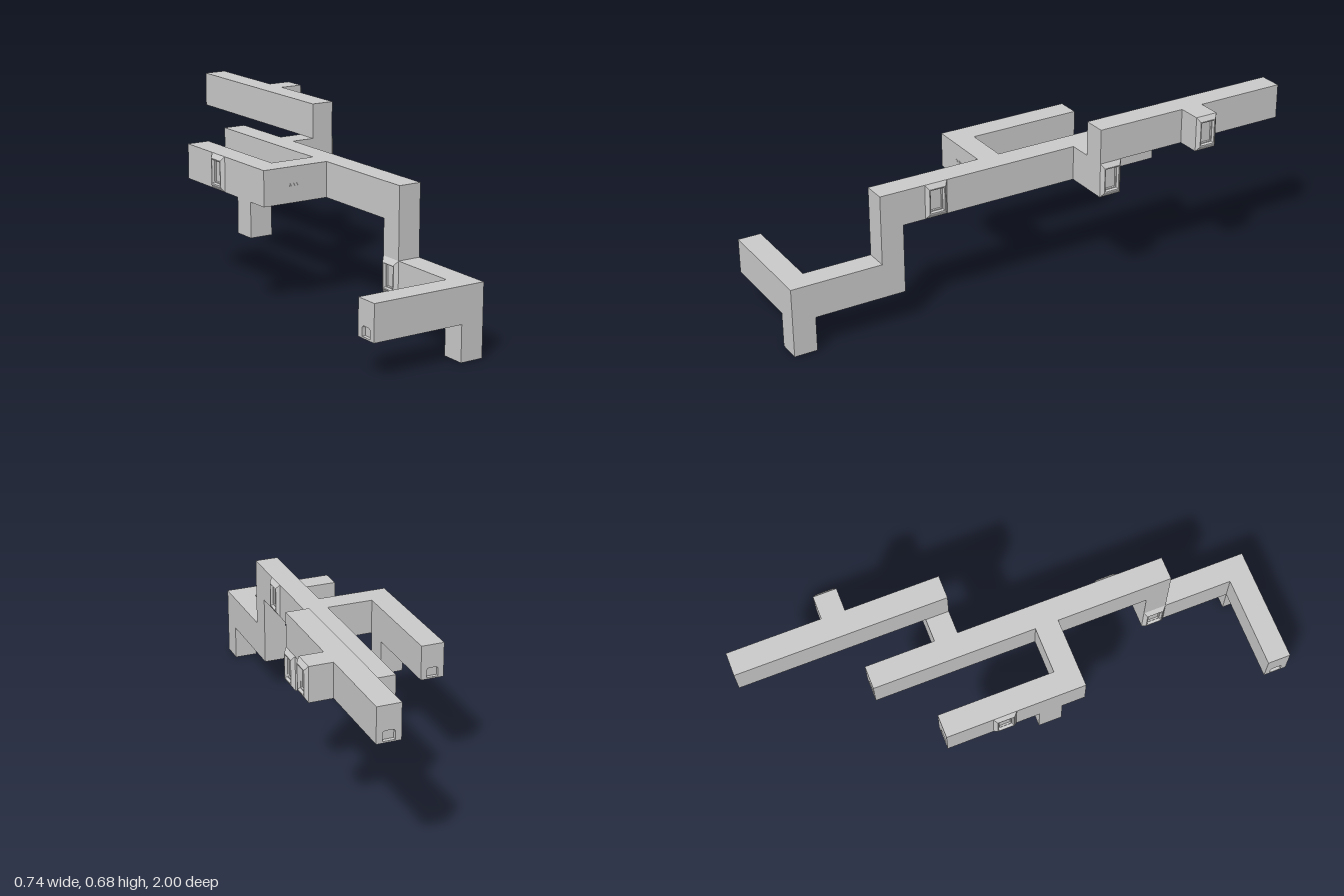
import * as THREE from 'three';
import { mergeGeometries } from 'three/addons/utils/BufferGeometryUtils.js';

// The passages follow a grid of cells: W wide and deep, H high.
const W = 2 / 22, H = 0.1364, X0 = -0.3703, RIM = 0.0125;
const material = new THREE.MeshStandardMaterial({ color: 0xcccccc, flatShading: true, side: THREE.DoubleSide });

// Each run spans cells [x, y, z] to [x, y, z], with z counted back from the front.
const runs = [
  ['entryShaft', [4, 0, 0], [4, 0, 0]],
  ['lowerCorridor', [4, 1, 0], [4, 1, 4]],
  ['lowerBranch', [0, 1, 0], [3, 1, 0]],
  ['risingShaft', [4, 2, 4], [4, 2, 4]],
  ['mainCorridor', [4, 3, 4], [4, 3, 16]],
  ['sideBranch', [2, 3, 9], [3, 3, 9]],
  ['sideCorridor', [1, 3, 9], [1, 3, 14]],
  ['dropShaft', [1, 2, 10], [1, 2, 10]],
  ['linkPassage', [5, 3, 13], [6, 3, 13]],
  ['upperCorridor', [6, 4, 13], [6, 4, 21]],
  ['upperStub', [7, 4, 17], [7, 4, 17]],
];

// Sides of a cell: grid step, rotation that turns +z outwards, distance from the cell centre
const sides = {
  front: { step: [0, 0, -1], rot: [0, 0], d: W / 2 },
  back: { step: [0, 0, 1], rot: [0, Math.PI], d: W / 2 },
  left: { step: [1, 0, 0], rot: [0, Math.PI / 2], d: W / 2 },
  right: { step: [-1, 0, 0], rot: [0, -Math.PI / 2], d: W / 2 },
  top: { step: [0, 1, 0], rot: [-Math.PI / 2, 0], d: H / 2 },
  bottom: { step: [0, -1, 0], rot: [Math.PI / 2, 0], d: H / 2 },
};

// Walls that are replaced by something else
const special = {
  '4,0,0,bottom': 'open', '1,2,10,bottom': 'open',
  '7,4,17,left': 'window', '6,3,13,left': 'window', '4,3,6,left': 'window',
  '1,3,12,right': 'window', '4,1,4,right': 'window',
  '6,4,21,back': 'hatch', '4,3,16,back': 'hatch', '1,3,14,back': 'hatch', '0,1,0,right': 'hatch',
};

// Move a panel built in the xy plane onto one side of a cell
function place(geo, [i, j, k], side) {
  const s = sides[side];
  geo.translate(0, 0, s.d).rotateX(s.rot[0]).rotateY(s.rot[1]);
  return geo.translate(X0 + (i + 0.5) * W, (j + 0.5) * H, 1 - (k + 0.5) * W);
}

// Rectangular rings [width, height, z] joined in order, with the last one closed
function steppedPanel(rings) {
  const pos = [], index = [];
  for (const [w, h, z] of rings) {
    pos.push(-w / 2, -h / 2, z, w / 2, -h / 2, z, w / 2, h / 2, z, -w / 2, h / 2, z);
  }
  for (let r = 0; r < rings.length - 1; r++) {
    for (let c = 0; c < 4; c++) {
      const a = r * 4 + c, b = r * 4 + (c + 1) % 4;
      index.push(a, b, b + 4, a, b + 4, a + 4);
    }
  }
  const e = (rings.length - 1) * 4;
  index.push(e, e + 1, e + 2, e, e + 2, e + 3);
  const g = new THREE.BufferGeometry();
  g.setAttribute('position', new THREE.Float32BufferAttribute(pos, 3));
  g.setIndex(index);
  g.computeVertexNormals();
  return g;
}

// Bevelled window frame around a recessed pane
const windowPanel = () => steppedPanel([
  [W, H, 0], [0.066, 0.1, RIM], [0.058, 0.092, RIM], [0.052, 0.086, 0.002],
  [0.046, 0.08, 0.002], [0.043, 0.077, -0.004],
]);

// Small arched outline near the foot of an end wall
function archPath(Type) {
  const w = 0.023, y0 = -H / 2 + 0.006, y1 = y0 + 0.026;
  const p = new Type();
  p.moveTo(-w, y0);
  p.lineTo(w, y0);
  p.lineTo(w, y1);
  p.quadraticCurveTo(w, y1 + 0.012, w - 0.012, y1 + 0.012);
  p.lineTo(-w + 0.012, y1 + 0.012);
  p.quadraticCurveTo(-w, y1 + 0.012, -w, y1);
  p.closePath();
  return p;
}

// End wall with the arched hole cut out
function hatchWall() {
  const wall = new THREE.Shape([[-1, -1], [1, -1], [1, 1], [-1, 1]]
    .map(([x, y]) => new THREE.Vector2(x * W / 2, y * H / 2)));
  wall.holes.push(archPath(THREE.Path));
  return new THREE.ShapeGeometry(wall, 4);
}

// Recess behind the hole: side walls and a flat back
function hatchRecess() {
  const pts = archPath(THREE.Shape).getPoints(4);
  const back = new THREE.ShapeGeometry(new THREE.Shape(pts), 4).translate(0, 0, -0.014).toNonIndexed();
  const strips = pts.slice(1).map((b, n) => {
    const a = pts[n], len = a.distanceTo(b);
    return new THREE.PlaneGeometry(len, 0.014).rotateX(Math.PI / 2)
      .rotateZ(Math.atan2(b.y - a.y, b.x - a.x))
      .translate((a.x + b.x) / 2, (a.y + b.y) / 2, -0.007).toNonIndexed();
  });
  return mergeGeometries([back, ...strips]);
}

export function createModel() {
  const model = new THREE.Group();
  model.name = 'passageNetwork';
  const add = (name, geo) => {
    const mesh = new THREE.Mesh(geo, material);
    mesh.name = name;
    model.add(mesh);
  };

  // Mark every occupied cell
  const cellsOf = ([, a, b]) => {
    const cells = [];
    for (let i = a[0]; i <= b[0]; i++)
      for (let j = a[1]; j <= b[1]; j++)
        for (let k = a[2]; k <= b[2]; k++) cells.push([i, j, k]);
    return cells;
  };
  const filled = new Set(runs.flatMap(cellsOf).map(String));

  // Walls only where a cell has no neighbour, so the passages connect inside
  for (const run of runs) {
    const walls = [];
    for (const cell of cellsOf(run)) {
      for (const side in sides) {
        const { step } = sides[side];
        if (filled.has(String(cell.map((v, n) => v + step[n])))) continue;
        const kind = special[`${cell},${side}`];
        if (kind === 'open') continue;
        if (kind === 'window') {
          add('windowFrame', place(windowPanel(), cell, side));
        } else if (kind === 'hatch') {
          walls.push(place(hatchWall(), cell, side));
          add('hatchRecess', place(hatchRecess(), cell, side));
        } else {
          const flat = step[1] !== 0;
          walls.push(place(new THREE.PlaneGeometry(W, flat ? W : H), cell, side));
        }
      }
    }
    add(run[0], mergeGeometries(walls));
  }

  // Thin vent slats on the front of the side branch
  for (let n = -1; n <= 1; n++) {
    const slat = new THREE.BoxGeometry(0.036, 0.0015, 0.002);
    add('ventSlat', slat.translate(-0.15, 3.5 * H + n * 0.004, 1 - 9 * W));
  }
  return model;
}
